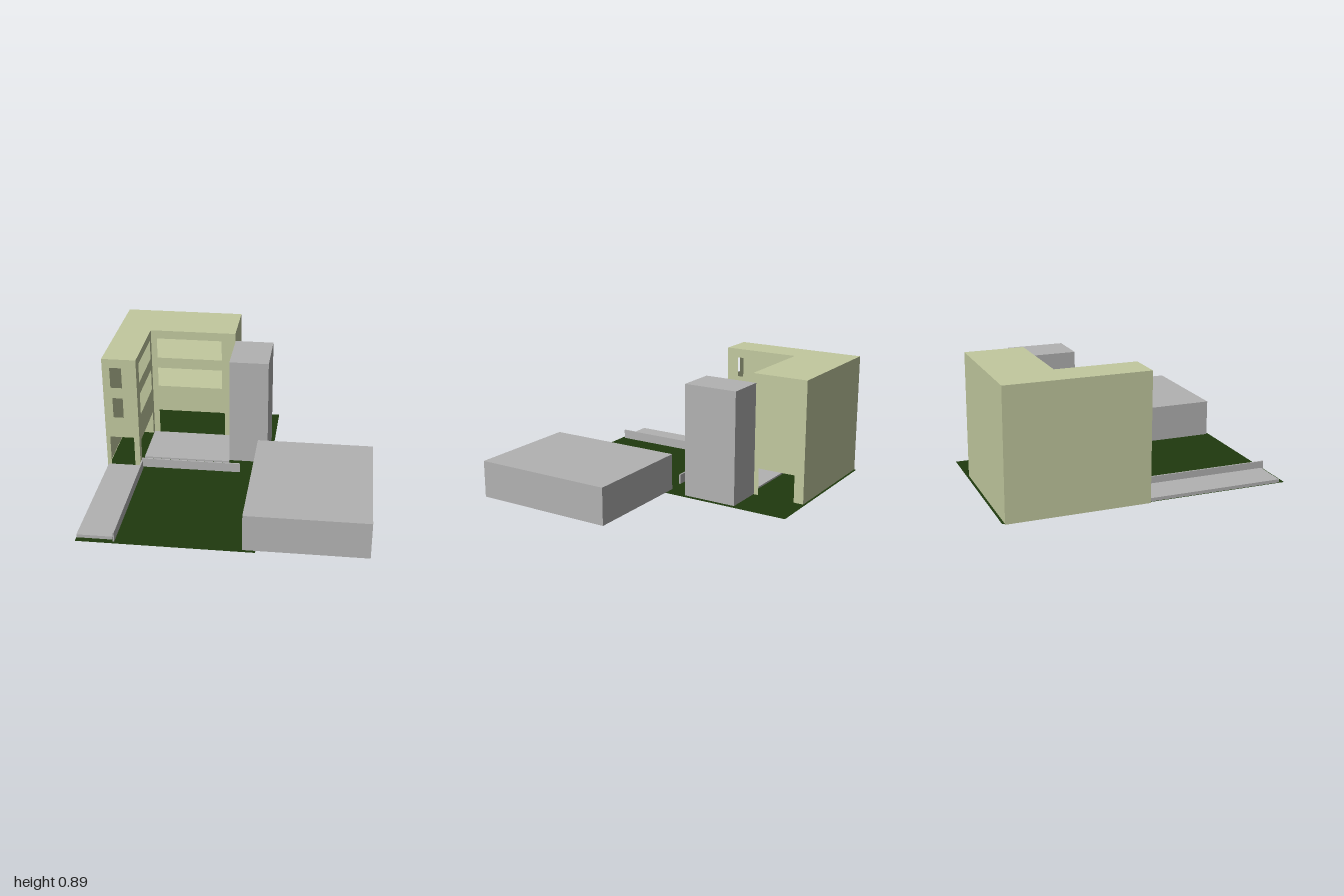
import * as THREE from 'three';

const material = (name, color, side = THREE.FrontSide) => {
  const m = new THREE.MeshStandardMaterial({ color, side });
  m.name = name;
  return m;
};

export function createModel() {
  const root = new THREE.Group();
  root.name = 'buildingSite';
  const plaster = material('pale olive plaster', 0xc2c99f, THREE.DoubleSide);
  const concrete = material('grey concrete', 0xb2b2b2);
  const grass = material('dark green grass', 0x203a0e, THREE.DoubleSide);

  // Solid box given by its limits
  const block = (name, x0, x1, y0, y1, z0, z1) => {
    const m = new THREE.Mesh(new THREE.BoxGeometry(x1 - x0, y1 - y0, z1 - z0), concrete);
    m.position.set((x0 + x1) / 2, (y0 + y1) / 2, (z0 + z1) / 2);
    m.name = name;
    root.add(m);
  };

  const rect = (T, [a0, a1, b0, b1]) => new T([
    new THREE.Vector2(a0, b0), new THREE.Vector2(a1, b0),
    new THREE.Vector2(a1, b1), new THREE.Vector2(a0, b1),
  ]);

  // Thin sheet with openings: axis is the facing direction, at its offset
  const sheet = (parent, name, axis, at, limits, openings = [], mat = plaster) => {
    const shape = rect(THREE.Shape, limits);
    for (const o of openings) shape.holes.push(rect(THREE.Path, o));
    const g = new THREE.ShapeGeometry(shape);
    if (axis === 'z') g.translate(0, 0, at); // limits: x, y
    if (axis === 'x') g.rotateY(-Math.PI / 2).translate(at, 0, 0); // limits: z, y
    if (axis === 'y') g.rotateX(Math.PI / 2).translate(0, at, 0); // limits: x, z
    const m = new THREE.Mesh(g, mat);
    m.name = name;
    parent.add(m);
  };

  // Lawn
  sheet(root, 'lawn', 'y', 0.01, [-0.98, 0.23, -1, 1], [], grass);

  // Hollow L-shaped building
  const building = new THREE.Group();
  building.name = 'building';
  root.add(building);
  const B = 0.005, T = 0.895, W = -0.985, M = -0.735, E = -0.085, N = -0.983, C = -0.57;

  // Main block
  sheet(building, 'backWall', 'z', N, [W, E, B, T]);
  sheet(building, 'mainFrontWall', 'z', C, [W, E, B, T], [
    [-0.69, -0.19, 0.67, 0.83], [-0.69, -0.19, 0.43, 0.585], [-0.69, -0.17, 0.007, 0.22],
  ]);
  sheet(building, 'mainEndWall', 'x', E, [N, C, B, T], [[-0.91, -0.63, 0.007, 0.21]]);
  for (const y of [0.425, 0.665]) sheet(building, 'upperFloor', 'y', y, [W, E, N, C]);

  // Wing
  sheet(building, 'wingFrontWall', 'z', 0, [W, M, B, T], [
    [-0.93, -0.785, 0.67, 0.828], [-0.92, -0.785, 0.43, 0.587], [-0.955, -0.775, 0.007, 0.267],
  ]);
  sheet(building, 'wingInnerWall', 'x', M, [C, 0, B, T], [
    [-0.52, -0.09, 0.68, 0.828], [-0.52, -0.09, 0.42, 0.587], [-0.52, -0.065, 0.007, 0.22],
  ]);
  sheet(building, 'outerSideWall', 'x', W, [N, 0, B, T]);

  // Roof and base of both parts
  for (const [name, y] of [['roof', T], ['base', B]]) {
    sheet(building, 'main' + name, 'y', y, [W, E, N, C]);
    sheet(building, 'wing' + name, 'y', y, [W, M, C, 0]);
  }

  // Concrete volumes and paving
  block('tower', E, 0.203, 0.012, 0.828, -0.595, -0.195);
  block('lowHall', 0.143, 0.983, 0.012, 0.278, -0.05, 0.98);
  block('patio', M, E, 0.012, 0.025, C, -0.155);
  block('path', -0.978, M, 0.012, 0.035, 0, 0.96);

  // Low garden walls
  block('pathWall', -0.727, -0.716, 0, 0.08, 0, 0.98);
  block('patioWall', -0.727, 0.013, 0, 0.08, -0.037, -0.025);

  return root;
}
